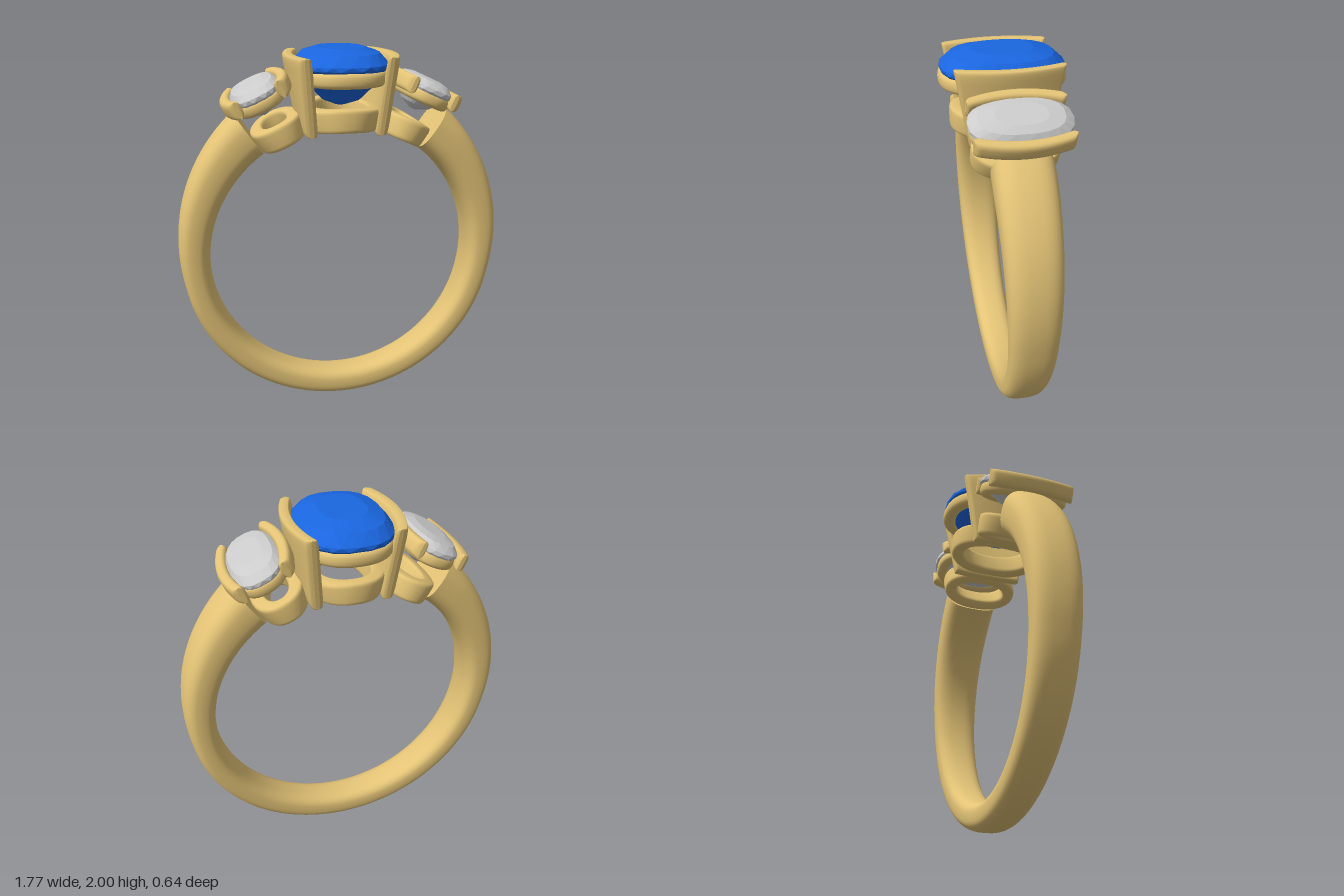
import * as THREE from 'three';

const gold = new THREE.MeshStandardMaterial({ color: 0xe3c376 });
const blue = new THREE.MeshStandardMaterial({ color: 0x1a66e0, flatShading: true });
const grey = new THREE.MeshStandardMaterial({ color: 0xcccccc, flatShading: true });

const FINGER_Y = 0.875, FINGER_R = 0.72;
const lerp = THREE.MathUtils.lerp;

// Point on a superellipse with half sizes a, b and squareness n
function oval(a, b, n, t) {
  const c = Math.cos(t), s = Math.sin(t);
  return [a * Math.sign(c) * Math.abs(c) ** (2 / n), b * Math.sign(s) * Math.abs(s) ** (2 / n)];
}

function section(a, b, n, count, shift = 0) {
  return Array.from({ length: count }, (_, i) => oval(a, b, n, ((i + shift) / count) * Math.PI * 2));
}

// Skin a list of closed cross-sections; either join the last to the first or cap both ends
function skin(rings, closed = false) {
  const m = rings[0].length, n = rings.length, pos = rings.flat(2), idx = [];
  for (let i = 0; i < (closed ? n : n - 1); i++) {
    for (let j = 0; j < m; j++) {
      const k = (j + 1) % m, p = ((i + 1) % n) * m;
      idx.push(i * m + j, i * m + k, p + j, i * m + k, p + k, p + j);
    }
  }
  if (!closed) {
    [rings[0], rings[n - 1]].forEach((ring, end) => {
      const base = pos.length / 3;
      const mid = [0, 1, 2].map((a) => ring.reduce((s, p) => s + p[a], 0) / m);
      pos.push(...ring.flat(), ...mid);
      for (let j = 0; j < m; j++) {
        const k = (j + 1) % m;
        idx.push(base + (end ? j : k), base + (end ? k : j), base + m);
      }
    });
  }
  // Turn the faces outwards by the sign of the enclosed volume
  const v = (i) => new THREE.Vector3().fromArray(pos, i * 3);
  let volume = 0;
  for (let i = 0; i < idx.length; i += 3) volume += v(idx[i]).dot(v(idx[i + 1]).cross(v(idx[i + 2])));
  if (volume < 0) idx.reverse();
  const g = new THREE.BufferGeometry();
  g.setAttribute('position', new THREE.Float32BufferAttribute(pos, 3));
  g.setIndex(idx);
  g.computeVertexNormals();
  return g;
}

function add(parent, name, geometry, material = gold) {
  const mesh = new THREE.Mesh(geometry, material);
  mesh.name = name;
  parent.add(mesh);
  return mesh;
}

// Open band, thicker and wider towards the shoulders
function bandGeometry() {
  const rings = [];
  for (let i = 0; i <= 120; i++) {
    const d = lerp(-145, 145, i / 120), a = THREE.MathUtils.degToRad(d);
    const outer = 0.872 + 0.11 * Math.max(0, (Math.abs(d) - 80) / 65) ** 1.3;
    const mid = (outer + FINGER_R) / 2, half = (outer - FINGER_R) / 2;
    const width = 0.095 + 0.055 * Math.min(1, (FINGER_Y - 0.8 * Math.cos(a)) / 1.45);
    rings.push(section(half, width, 2.8, 32).map(([r, z]) =>
      [Math.sin(a) * (mid + r), FINGER_Y - Math.cos(a) * (mid + r), z]));
  }
  return skin(rings);
}

// Oval ring with a rounded section; place() maps (across, height, depth) to space
function ovalRing(a, b, n, thick, high, square, place = (x, y, z) => [x, y, z]) {
  const rings = [];
  for (let i = 0; i < 64; i++) {
    const t = (i / 64) * Math.PI * 2;
    rings.push(section(thick, high, square, 20).map(([r, h]) => {
      const [x, z] = oval(a + r, b + r, n, t);
      return place(x, h, z);
    }));
  }
  return skin(rings, true);
}

// Oval base ring bent round the finger, centred at an angle from the top
function baseRing(a, b, angle) {
  return ovalRing(a, b, 2.2, 0.037, 0.06, 5, (x, h, z) => {
    const t = angle + x / 0.78, r = FINGER_R + 0.06 + h;
    return [Math.sin(t) * r, FINGER_Y + Math.cos(t) * r, z];
  });
}

// Bar running along z with rounded ends; place(u, x, y) gives each point, u from -1 to 1
function bar(thick, high, square, round, place) {
  const rings = [];
  for (let i = 0; i <= 40; i++) {
    const u = -Math.cos((i / 40) * Math.PI);
    const e = THREE.MathUtils.clamp((Math.abs(u) - 1 + round) / round, 0, 1);
    const s = Math.max(0.35, Math.sqrt(1 - e * e));
    rings.push(section(thick * s, high, square, 28).map(([x, y]) => place(u, x, y)));
  }
  return skin(rings);
}

// Faceted stone: levels of [scale, height], each turned half a step from the last
function stone(a, b, levels) {
  return skin(levels.map(([s, y], i) =>
    section(a * s, b * s, 2.5, 20, i / 2).map(([x, z]) => [x, y, z])));
}

export function createModel() {
  const model = new THREE.Group();
  model.name = 'ring';
  add(model, 'band', bandGeometry());

  // Centre setting
  const centre = new THREE.Group();
  centre.name = 'centreSetting';
  model.add(centre);
  add(centre, 'centreStone', stone(0.24, 0.313, [
    [0.12, 1.705], [0.42, 1.735], [0.75, 1.82], [1, 1.905], [1, 1.925], [0.82, 1.975], [0.5, 2],
  ]), blue);
  add(centre, 'centreRail', ovalRing(0.205, 0.285, 2.4, 0.037, 0.04, 2.6)).position.y = 1.86;
  add(centre, 'centreBase', baseRing(0.165, 0.233, 0));

  for (const side of [1, -1]) {
    // Curved wall holding one side of the centre stone
    add(centre, 'centreWall', bar(0.032, 1, 7, 0.06, (u, x, y) => {
      const h = (y + 1) / 2;
      const bulge = (1 - u * u) * lerp(0.01, 0.055, h);
      return [side * (lerp(0.18, 0.215, h) + bulge + x), lerp(1.565, 1.968, h), u * lerp(0.2, 0.272, h)];
    }));
    add(model, 'sideBase', baseRing(0.1, 0.183, side * 0.44));

    // Tilted side setting
    const setting = new THREE.Group();
    setting.name = side > 0 ? 'leftSetting' : 'rightSetting';
    setting.position.set(side * 0.445, 1.775, 0);
    setting.rotation.z = -side * THREE.MathUtils.degToRad(25);
    model.add(setting);
    add(setting, 'sideStone', stone(0.137, 0.25, [
      [0.12, -0.12], [0.5, -0.09], [0.8, -0.04], [1, 0], [1, 0.02], [0.82, 0.05], [0.5, 0.063],
    ]), grey);
    add(setting, 'sideRail', ovalRing(0.115, 0.21, 2.4, 0.033, 0.035, 2.6)).position.y = -0.035;
    for (const end of [1, -1]) {
      add(setting, end === side ? 'outerBar' : 'innerBar', bar(0.031, 0.045, 3, 0.1, (u, x, y) =>
        [end * (0.118 + 0.042 * (1 - u * u) + x), y, u * 0.238]));
    }
  }
  return model;
}
